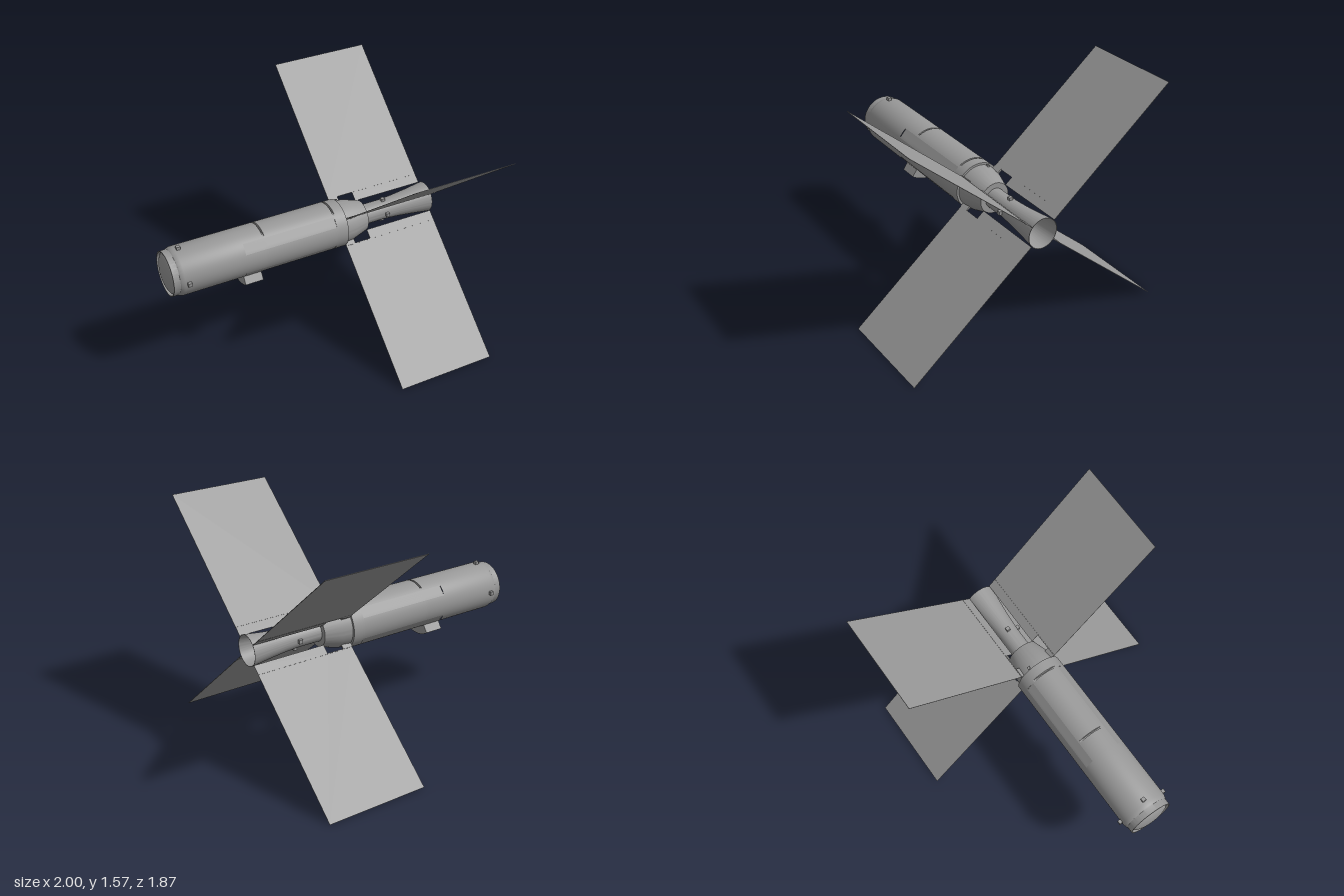
import * as THREE from 'three';
import { toCreasedNormals } from 'three/addons/utils/BufferGeometryUtils.js';

const R = 0.167;                       // body radius
const AXIS_Y = 0.787;                  // height of the long axis
const FIN_ANGLE = 0.872;               // fin tilt from vertical
const DIAGONALS = [1, -1, 2, -2].map(k => Math.sign(k) * (Math.abs(k) === 1 ? FIN_ANGLE : Math.PI - FIN_ANGLE));
const QUARTERS = [0, 1, 2, 3].map(i => i * Math.PI / 2);

export function createModel() {
  const gray = new THREE.MeshStandardMaterial({ color: 0x999999 });
  gray.name = 'gray metal';
  const model = new THREE.Group();
  const axis = new THREE.Group();
  axis.name = 'airframe';
  axis.position.y = AXIS_Y;
  model.add(axis);

  const add = (name, geometry, parent = axis) => {
    const mesh = new THREE.Mesh(geometry, gray);
    mesh.name = name;
    parent.add(mesh);
    return mesh;
  };
  // Revolved part along x; points are [x, radius]
  const turn = (name, points) => {
    const g = new THREE.LatheGeometry(points.map(([x, r]) => new THREE.Vector2(r, x)), 96);
    g.rotateZ(-Math.PI / 2);
    return add(name, toCreasedNormals(g, 0.4));
  };
  // Group turned about the long axis; its +y points outward
  const spoke = (name, angle) => {
    const g = new THREE.Group();
    g.name = name;
    g.rotation.x = angle;
    axis.add(g);
    return g;
  };
  const box = (name, parent, x, r, sx, sr, sz) =>
    add(name, new THREE.BoxGeometry(sx, sr, sz), parent).position.set(x, r, 0);

  // Domed seeker set inside the front ring, then the front of the body
  const dome = [];
  for (let i = 0; i <= 10; i++) {
    const t = i / 10 * Math.PI / 2;
    dome.push([-0.95 - 0.05 * Math.cos(t), 0.148 * Math.sin(t)]);
  }
  turn('noseDome', dome);
  turn('frontBody', [[-0.95, 0.148], [-0.98, 0.148], [-0.98, 0.155], [-0.935, 0.155],
    [-0.93, 0.159], [-0.905, R], [-0.47, R]]);

  // Cylinder section pressed flat towards the given directions
  const section = (name, x0, x1, flats) => {
    let g = new THREE.CylinderGeometry(R, R, x1 - x0, 96);
    g.rotateZ(-Math.PI / 2).translate((x0 + x1) / 2, 0, 0);
    const p = g.attributes.position;
    for (const [angle, depth] of flats) {
      const dy = Math.cos(angle), dz = Math.sin(angle);
      for (let i = 0; i < p.count; i++) {
        const over = p.getY(i) * dy + p.getZ(i) * dz - depth;
        if (over > 0) p.setXYZ(i, p.getX(i), p.getY(i) - over * dy, p.getZ(i) - over * dz);
      }
    }
    add(name, toCreasedNormals(g, 0.15));
  };
  const finBays = DIAGONALS.map(a => [a, R * 0.976]);
  const topSlot = [[0, 0.14]];
  section('midBody', -0.47, -0.322, finBays);
  section('frontSlot', -0.322, -0.31, [...finBays, ...topSlot]);
  section('mainBody', -0.31, 0.205, finBays);
  section('rearSlot', 0.205, 0.217, topSlot);
  section('rearBody', 0.217, 0.29, []);

  // Boat tail and flared nozzle with a closed throat
  turn('boatTail', [[0.29, 0.152], [0.36, 0.145], [0.48, 0.108], [0.48, 0.068]]);
  turn('nozzle', [[0.48, 0.07], [0.64, 0.07], [0.75, 0.077], [0.87, 0.09], [1, 0.107],
    [1, 0.104], [0.87, 0.087], [0.75, 0.074], [0.7, 0.069], [0.7, 0]]);

  // Small lugs around the nose and nozzle
  for (const a of QUARTERS) {
    const s = spoke('lugs', a);
    box('noseLug', s, -0.88, 0.175, 0.026, 0.026, 0.026);
    box('nozzleLug', s, 0.65, 0.077, 0.026, 0.026, 0.026);
  }
  box('tailLug', spoke('tailLugMount', -0.42), 0.308, 0.15, 0.018, 0.02, 0.018);

  // Four thin fins, notched at the front of the root
  const outline = new THREE.Shape([[0.29, 0.177], [0.48, 0.177], [0.48, 0.11], [1, 0.11], [1, 1.222], [0.29, 1.222]]
    .map(([x, y]) => new THREE.Vector2(x, y)));
  const finGeometry = new THREE.ExtrudeGeometry(outline, { depth: 0.003, bevelEnabled: false });
  finGeometry.translate(0, 0, -0.0015);
  for (const a of DIAGONALS) {
    const s = spoke('finAssembly', a);
    add('fin', finGeometry, s);
    box('finHinge', s, 0.325, 0.15, 0.07, 0.056, 0.012);
    box('hingeLine', s, 0.645, 0.177, 0.71, 0.005, 0.006);
  }

  // Curved shoe under the body
  const half = 0.61, down = -Math.PI / 2;
  const shoe = new THREE.Shape();
  shoe.absarc(0, 0, 0.226, down - half, down + half, false);
  shoe.absarc(0, 0, 0.155, down + half, down - half, true);
  const shoeGeometry = new THREE.ExtrudeGeometry(shoe, { depth: 0.13, bevelEnabled: false, curveSegments: 20 });
  shoeGeometry.rotateY(Math.PI / 2).translate(-0.47, 0, 0);
  add('bellyShoe', toCreasedNormals(shoeGeometry, 0.4));

  return model;
}
